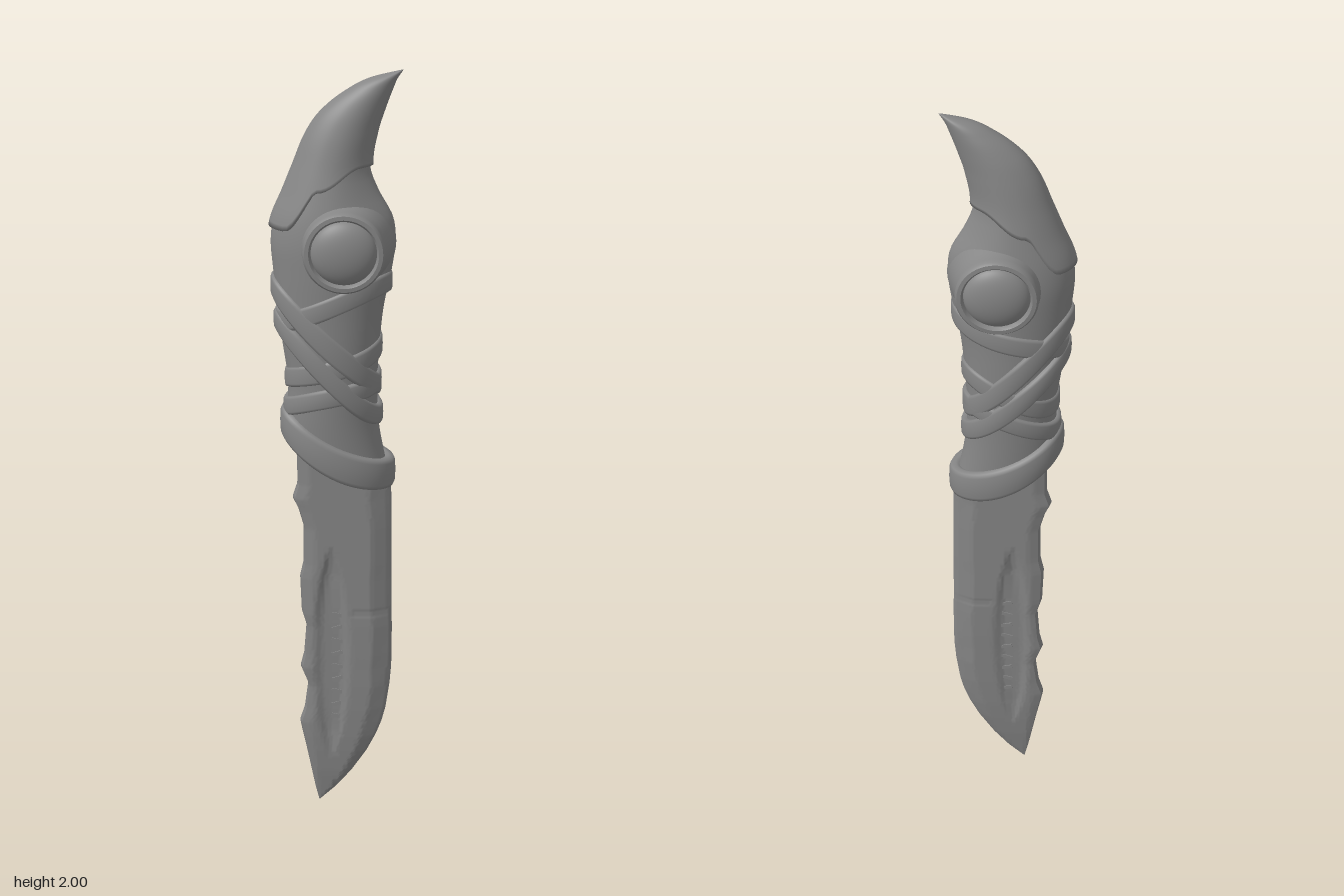
import * as THREE from 'three';
import { toCreasedNormals } from 'three/addons/utils/BufferGeometryUtils.js';

const { lerp, smoothstep, clamp } = THREE.MathUtils;
const TAU = Math.PI * 2;
const material = new THREE.MeshStandardMaterial({ color: 0x868686 });

// Rows of [y, ...values] turned into a lookup by y
function table(rows, Type) {
  const interp = new Type(rows.map(r => r[0]), rows.flatMap(r => r.slice(1)), rows[0].length - 1);
  const lo = rows[0][0], hi = rows[rows.length - 1][0];
  return y => [...interp.evaluate(clamp(y, lo, hi))];
}

// Surface from a grid of points: columns always close, rows close on request
function loft(rows, cols, point, closeRows = false) {
  const pos = [], idx = [];
  const count = closeRows ? rows : rows + 1;
  for (let i = 0; i < count; i++)
    for (let j = 0; j < cols; j++) pos.push(...point(i / rows, j / cols));
  for (let i = 0; i < rows; i++)
    for (let j = 0; j < cols; j++) {
      const i2 = (i + 1) % count, j2 = (j + 1) % cols;
      const a = i * cols + j, b = i2 * cols + j, c = i2 * cols + j2, d = i * cols + j2;
      idx.push(a, b, d, b, c, d);
    }
  const geo = new THREE.BufferGeometry();
  geo.setAttribute('position', new THREE.Float32BufferAttribute(pos, 3));
  geo.setIndex(idx);
  geo.computeVertexNormals();
  return geo;
}

// Handle and beak outline: y, left x, right x, half depth
const outline = table([
  [0.92, -0.115, 0.145, 0.08], [1.0, -0.12, 0.125, 0.083], [1.1, -0.125, 0.108, 0.088],
  [1.2, -0.122, 0.105, 0.093], [1.3, -0.135, 0.11, 0.098], [1.4, -0.148, 0.12, 0.1],
  [1.5, -0.158, 0.14, 0.103], [1.57, -0.163, 0.148, 0.102], [1.63, -0.155, 0.142, 0.095],
  [1.7, -0.127, 0.105, 0.081], [1.76, -0.104, 0.084, 0.069], [1.85, -0.068, 0.098, 0.056],
  [1.9, -0.033, 0.115, 0.047], [1.95, 0.028, 0.135, 0.034], [1.98, 0.085, 0.149, 0.021],
  [2.0, 0.16, 0.164, 0.001],
], THREE.CubicInterpolant);

// Point on the outline; the throat side narrows towards +x near the eyes
function onOutline(y, a, off = 0) {
  const [l, r, d] = outline(y);
  const c = Math.cos(a);
  const throat = 1 - 0.3 * smoothstep(y, 1.42, 1.56) * Math.max(0, c) ** 2;
  return [(l + r) / 2 + ((r - l) / 2 + off) * c, y, (d * throat + off) * Math.sin(a)];
}

// Raised band around the handle; centre(a) and halfWidth(a) give its height and width
function band(centre, halfWidth, thick) {
  const round = v => Math.sign(v) * Math.abs(v) ** 0.55;
  return loft(12, 72, (u, v) => {
    const a = v * TAU, b = u * TAU, y = centre(a);
    const p = onOutline(y, a, thick * round(Math.cos(b)));
    p[1] += halfWidth(a) * round(Math.sin(b));
    return p;
  }, true);
}

// Blade: y, spine x, cutting edge x, half thickness
const bladeOutline = table([
  [0, -0.045, -0.043, 0.001], [0.04, -0.055, 0.0, 0.007], [0.09, -0.065, 0.042, 0.014],
  [0.15, -0.077, 0.082, 0.02], [0.2, -0.088, 0.107, 0.024], [0.24, -0.096, 0.122, 0.026],
  [0.28, -0.083, 0.132, 0.028], [0.35, -0.074, 0.142, 0.03], [0.4, -0.094, 0.146, 0.031],
  [0.44, -0.084, 0.147, 0.032], [0.52, -0.078, 0.147, 0.033], [0.56, -0.09, 0.146, 0.033],
  [0.66, -0.094, 0.145, 0.033], [0.7, -0.085, 0.145, 0.033], [0.8, -0.084, 0.144, 0.033],
  [0.85, -0.098, 0.143, 0.033], [0.88, -0.113, 0.143, 0.033], [0.92, -0.1, 0.142, 0.033],
  [1.08, -0.1, 0.1, 0.033],
], THREE.LinearInterpolant);

function bladePoint(u, v) {
  const y = u * 1.08;
  const [l, r, t] = bladeOutline(y);
  const s = Math.abs(1 - 2 * v);
  const side = v < 0.5 ? 1 : -1;
  const x = lerp(l, r, s);
  let h = t * Math.min(1, 0.65 + s * 2.5, (1 - s) / 0.3 + 0.25);
  if (s === 0 || s === 1) h = 0;
  // Soft leaf-shaped hollow on both faces
  const w = 0.056 * Math.sin(Math.PI * clamp((y - 0.13) / 0.62, 0, 1)) ** 0.7;
  if (w > 0.002) h *= 1 - 0.35 * Math.min(1, w / 0.03) * (1 - smoothstep(Math.abs(x + 0.012), w * 0.35, w));
  // Hairline crack
  if (x > 0.04 && Math.abs(y - 0.562) < 0.007) h *= 0.93;
  return [x, y, side * h];
}

export function createModel() {
  const model = new THREE.Group();
  const add = (name, geo, parent = model) => {
    const mesh = new THREE.Mesh(geo, material);
    mesh.name = name;
    parent.add(mesh);
    return mesh;
  };

  add('blade', toCreasedNormals(loft(160, 80, bladePoint), 0.8));

  // Row of worn notches inside the hollow of each face
  const notches = new THREE.Group();
  notches.name = 'bladeNotches';
  model.add(notches);
  for (const side of [1, -1])
    for (let i = 0; i < 9; i++) {
      const y = 0.26 + i * 0.037;
      const notch = add('notch', new THREE.BoxGeometry(0.03, 0.01, 0.005), notches);
      notch.position.set(0.004, y, side * bladeOutline(y)[2] * 0.65);
      notch.rotation.z = i % 2 ? 0.3 : -0.2;
    }

  // Handle core with a closed, slanted lower end
  const collarY = a => 1.015 - 0.068 * Math.cos(a) + 0.012 * Math.cos(2 * a);
  add('handle', loft(49, 64, (u, v) => {
    const a = v * TAU;
    if (u === 0) return [0, 1.0, 0];
    return onOutline(lerp(collarY(a) - 0.02, 1.8, (u * 49 - 1) / 48), a);
  }));
  add('collar', band(collarY, a => 0.04 + 0.006 * Math.sin(a) ** 2, 0.018));

  // Crossing leather straps: height on the left edge, on the right edge, half width
  const straps = [
    [1.375, 1.468, 0.026], [1.45, 1.19, 0.028], [1.36, 1.11, 0.026],
    [1.21, 1.3, 0.026], [1.14, 1.215, 0.025],
  ];
  straps.forEach(([left, right, w], i) => {
    const centre = a => (left + right) / 2 + (right - left) / 2 * Math.cos(a) + 0.008 * Math.sin(2 * a + i);
    const width = a => w * Math.hypot(1, (right - left) / 0.27 * Math.sin(a));
    add('strap', band(centre, width, 0.008 + (i % 3) * 0.003));
  });

  // Beak pommel with a stepped lower border
  add('beak', loft(45, 64, (u, v) => {
    const a = v * TAU, c = Math.cos(a);
    const low = 1.61 + 0.1 * smoothstep(c, -0.75, -0.3) + 0.055 * smoothstep(c, -0.3, 0.7);
    const k = clamp((u * 45 - 1) / 44, 0, 1);
    const y = lerp(low, 2, 1 - (1 - k) ** 1.5);
    return onOutline(y, a, u === 0 ? -0.015 : 0.009 * (1 - k));
  }));

  // Round eyes on both faces: flared socket with a rim, and a domed eyeball
  const socketProfile = [[0.128, 0], [0.118, 0.045], [0.107, 0.08], [0.102, 0.105], [0.102, 0.12], [0.097, 0.127],
    [0.087, 0.128], [0.082, 0.122], [0.081, 0.105]].map(p => new THREE.Vector2(...p));
  for (const side of [1, -1]) {
    const eye = new THREE.Group();
    eye.name = side > 0 ? 'frontEye' : 'backEye';
    eye.position.set(0.022, 1.568, 0);
    eye.rotation.x = side * Math.PI / 2;
    model.add(eye);
    add('socket', toCreasedNormals(new THREE.LatheGeometry(socketProfile, 48), 0.8), eye);
    const ball = add('eyeball', new THREE.SphereGeometry(0.082, 40, 16, 0, TAU, 0, Math.PI / 2), eye);
    ball.scale.y = 0.45;
    ball.position.y = 0.11;
  }
  return model;
}
